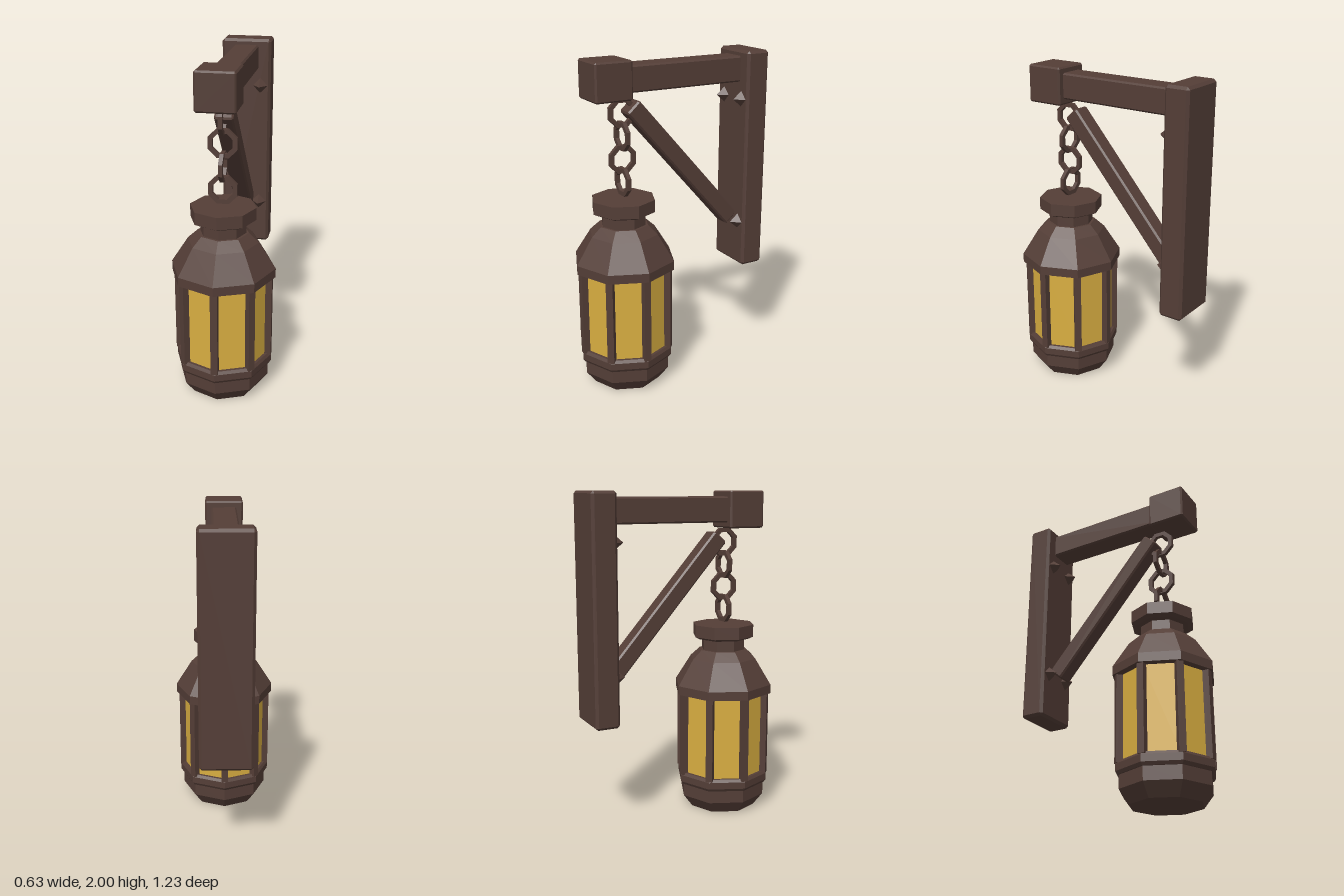
import * as THREE from 'three';
import { ConvexGeometry } from 'three/addons/geometries/ConvexGeometry.js';

const LANTERN_Z = 0.305;

// Faceted normals for low-poly parts
function faceted(geometry) {
  const g = geometry.index ? geometry.toNonIndexed() : geometry;
  g.computeVertexNormals();
  return g;
}

// Box with chamfered edges
function chamferBox(w, h, d, c) {
  const pts = [];
  for (const x of [-1, 1]) for (const y of [-1, 1]) for (const z of [-1, 1]) {
    const [X, Y, Z] = [x * w / 2, y * h / 2, z * d / 2];
    pts.push(
      new THREE.Vector3(X, Y - y * c, Z - z * c),
      new THREE.Vector3(X - x * c, Y, Z - z * c),
      new THREE.Vector3(X - x * c, Y - y * c, Z));
  }
  return new ConvexGeometry(pts);
}

// Eight-sided turned shape from [radius, y] pairs
function octagonal(profile) {
  return faceted(new THREE.LatheGeometry(profile.map(([r, y]) => new THREE.Vector2(r, y)), 8));
}

export function createModel() {
  const brown = new THREE.MeshStandardMaterial({ color: 0x543e37 });
  brown.name = 'dark brown';
  const amber = new THREE.MeshStandardMaterial({ color: 0xd9ae41 });
  amber.name = 'amber glass';

  const model = new THREE.Group();
  model.name = 'hangingLantern';
  const add = (parent, name, geometry, material, x = 0, y = 0, z = 0) => {
    const mesh = new THREE.Mesh(geometry, material);
    mesh.name = name;
    mesh.position.set(x, y, z);
    parent.add(mesh);
    return mesh;
  };

  // Wall bracket
  const bracket = new THREE.Group();
  bracket.name = 'bracket';
  model.add(bracket);
  add(bracket, 'wallPost', chamferBox(0.31, 1.365, 0.152, 0.016), brown, 0, 1.3175, -0.538);
  add(bracket, 'beam', chamferBox(0.152, 0.155, 0.8, 0.01), brown, 0, 1.8875, -0.08);
  add(bracket, 'beamEnd', chamferBox(0.23, 0.225, 0.233, 0.01), brown, 0, 1.8875, 0.402);
  const brace = add(bracket, 'brace', chamferBox(0.11, 1.055, 0.105, 0.01), brown, 0, 1.33, -0.095);
  brace.rotation.x = Math.atan2(0.699, 0.79);

  // Pyramid bolts on the post
  const boltGeometry = faceted(new THREE.ConeGeometry(0.05, 0.06, 4).rotateX(Math.PI / 2));
  for (const y of [1.71, 0.925]) for (const x of [-0.09, 0.09])
    add(bracket, 'bolt', boltGeometry, brown, x, y, -0.435);

  // Chain of octagonal links, alternately turned
  const chain = new THREE.Group();
  chain.name = 'chain';
  model.add(chain);
  const linkGeometry = octagonal([[0.091, -0.012], [0.091, 0.012], [0.063, 0.012], [0.063, -0.012], [0.091, -0.012]])
    .rotateY(Math.PI / 8).rotateX(Math.PI / 2);
  for (let i = 0; i < 4; i++) {
    const link = add(chain, 'chainLink', linkGeometry, brown, 0, 1.69 - i * 0.137, LANTERN_Z);
    link.rotation.y = i % 2 ? 0 : Math.PI / 2;
  }

  // Lantern
  const lantern = new THREE.Group();
  lantern.name = 'lantern';
  lantern.position.z = LANTERN_Z;
  model.add(lantern);
  add(lantern, 'base', octagonal([
    [0, 0], [0.215, 0], [0.275, 0.08], [0.275, 0.16], [0.283, 0.16],
    [0.295, 0.178], [0.295, 0.22], [0.283, 0.237], [0, 0.237]]), brown);
  add(lantern, 'glass', octagonal([[0.265, 0.23], [0.265, 0.76]]), amber);
  add(lantern, 'hood', octagonal([
    [0, 0.75], [0.313, 0.75], [0.313, 0.805], [0.212, 0.965], [0.152, 1.02], [0.137, 1.02],
    [0.137, 1.085], [0.165, 1.09], [0.195, 1.105], [0.195, 1.18], [0, 1.18]]), brown);

  // Upright bars at the glass corners
  const barGeometry = new THREE.BoxGeometry(0.042, 0.53, 0.045).translate(0, 0.49, 0.2725);
  for (let i = 0; i < 8; i++)
    add(lantern, 'bar', barGeometry, brown).rotation.y = i * Math.PI / 4;

  return model;
}
